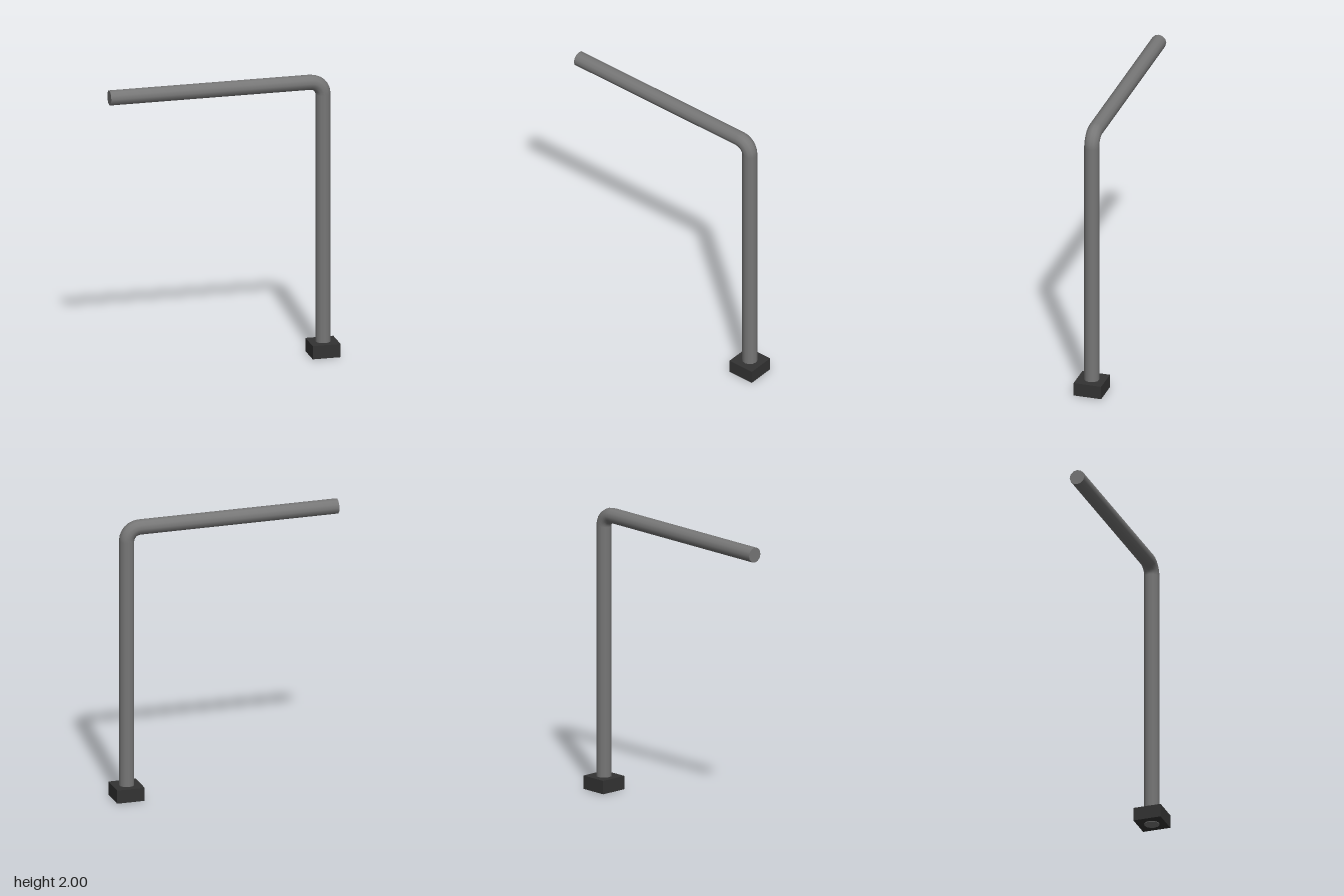
import * as THREE from 'three';

export function createModel() {
  const model = new THREE.Group();
  const steel = new THREE.MeshStandardMaterial({ color: 0x777777 });
  steel.name = 'grey steel';
  const dark = new THREE.MeshStandardMaterial({ color: 0x333333 });
  dark.name = 'dark base';

  const R = 0.053, SIDES = 12;      // pipe radius and facets
  const BEND = 0.09;                // centreline radius of the elbow
  const poleX = 0.702, armY = 2 - R, armEnd = -0.8;

  const add = (name, geometry, material, x, y) => {
    const mesh = new THREE.Mesh(geometry, material);
    mesh.name = name;
    mesh.position.set(x, y, 0);
    model.add(mesh);
    return mesh;
  };

  // Upright, running through the base to the ground
  const poleTop = armY - BEND;
  add('pole', new THREE.CylinderGeometry(R, R, poleTop, SIDES), steel, poleX, poleTop / 2);

  // Quarter-turn elbow
  add('elbow', new THREE.TorusGeometry(BEND, R, SIDES, 6, Math.PI / 2), steel, poleX - BEND, poleTop);

  // Horizontal arm
  const armStart = poleX - BEND, armLength = armStart - armEnd;
  const arm = add('arm', new THREE.CylinderGeometry(R, R, armLength, SIDES), steel,
    (armStart + armEnd) / 2, armY);
  arm.rotation.z = Math.PI / 2;

  // Square foot block, just clear of the pole's end
  add('base', new THREE.BoxGeometry(0.196, 0.094, 0.196), dark, 0.702, 0.051);

  return model;
}
